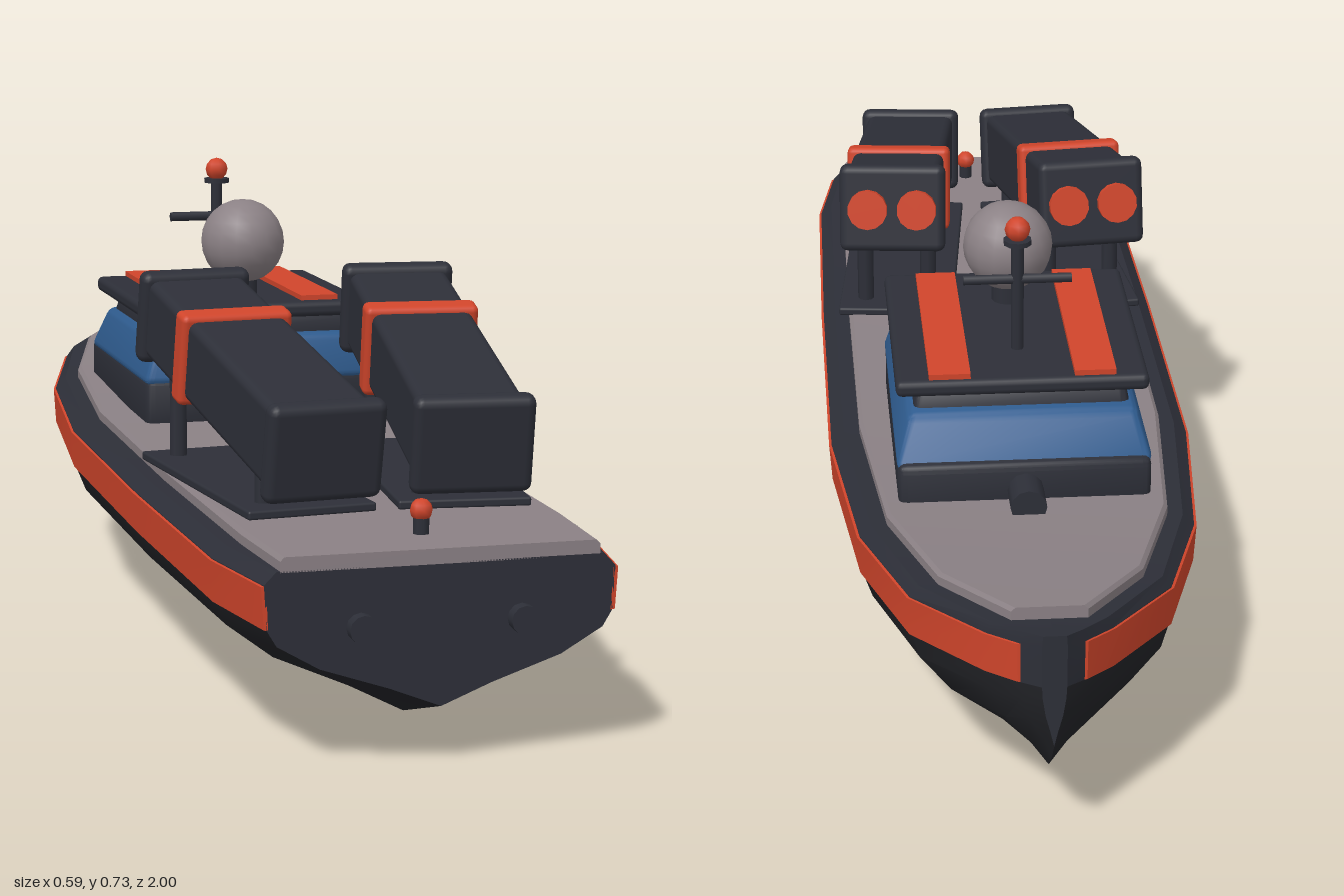
import * as THREE from 'three';
import { toCreasedNormals } from 'three/addons/utils/BufferGeometryUtils.js';
import { RoundedBoxGeometry } from 'three/addons/geometries/RoundedBoxGeometry.js';

const material = (name, color) => {
  const m = new THREE.MeshStandardMaterial({ color });
  m.name = name;
  return m;
};

// Hull stations, stern to bow: z, half width, keel height, sheer height, deck half width
const STATIONS = [
  [0.98, 0.255, 0.085, 0.29, 0.232],
  [0.8, 0.284, 0.03, 0.29, 0.242],
  [0.32, 0.291, 0, 0.29, 0.247],
  [-0.2, 0.291, 0, 0.296, 0.245],
  [-0.55, 0.257, 0.018, 0.313, 0.215],
  [-0.78, 0.192, 0.055, 0.335, 0.15],
  [-0.92, 0.09, 0.11, 0.352, 0.055],
  [-0.97, 0.046, 0.155, 0.362, 0.03],
  [-1.0, 0.018, 0.19, 0.37, 0.01],
];

// Skin between equal rows of points; rows run towards -z, points clockwise seen from +z
function loft(rows, caps = false) {
  const n = rows[0].length, index = [];
  for (let i = 0; i < rows.length - 1; i++) {
    for (let j = 0; j < n - 1; j++) {
      const a = i * n + j, b = a + 1, c = a + n, d = c + 1;
      index.push(a, b, c, b, d, c);
    }
  }
  if (caps) {
    const e = (rows.length - 1) * n;
    for (let j = 1; j < n - 1; j++) index.push(0, j + 1, j, e, e + j, e + j + 1);
  }
  const g = new THREE.BufferGeometry();
  g.setAttribute('position', new THREE.Float32BufferAttribute(rows.flat(2), 3));
  g.setIndex(index);
  return toCreasedNormals(g, 0.5);
}

const mirrorRow = (row) => row.slice().reverse().map(([x, y, z]) => [-x, y, z]);

// Half sections of the hull
const upperHalf = ([z, w, , s]) => [[0, s, z], [w * 0.93, s, z], [w, s - 0.018, z], [w * 0.985, s - 0.082, z]];
function lowerHalf([z, w, k, s]) {
  const h = s - 0.082 - k;
  return [[0.985, 1], [0.93, 0.81], [0.69, 0.52], [0.29, 0.24], [0, 0]].map(([x, y]) => [w * x, k + h * y, z]);
}

export function createModel() {
  const root = new THREE.Group();
  root.name = 'patrolBoat';
  const dark = material('charcoal', 0x2d2f38);
  const black = material('hullBlack', 0x222327);
  const red = material('signalRed', 0xd0452b);
  const grey = material('deckGrey', 0x8b8185);
  const blue = material('windowBlue', 0x2f5c8f);

  const add = (name, geo, mat, pos = [0, 0, 0], parent = root) => {
    const m = new THREE.Mesh(geo, mat);
    m.name = name;
    m.position.set(...pos);
    parent.add(m);
    return m;
  };
  const box = (w, h, d, r = 0.01) => new RoundedBoxGeometry(w, h, d, 2, r);
  const rod = (r, h, sides = 12) => new THREE.CylinderGeometry(r, r, h, sides);

  // Hull
  add('lowerHull', loft(STATIONS.map((s) => {
    const half = lowerHalf(s);
    return [...half, ...mirrorRow(half).slice(1)];
  })), black);
  const upperRows = STATIONS.map(upperHalf);
  add('gunwaleLeft', loft(upperRows), dark);
  add('gunwaleRight', loft(upperRows.map(mirrorRow)), dark);

  // Flat ends of the hull
  const endRows = [STATIONS[0], STATIONS[STATIONS.length - 1]].map((s) => {
    const half = [...upperHalf(s), ...lowerHalf(s).slice(1)];
    return [...half, ...mirrorRow(half).slice(1)];
  });
  endRows.forEach((row, i) => {
    const shape = new THREE.Shape(row.map(([x, y]) => new THREE.Vector2(x, y)));
    const end = add(i ? 'stemFace' : 'transom', new THREE.ShapeGeometry(shape), dark, [0, 0, row[0][2]]);
    if (i) end.rotation.y = Math.PI;
  });

  // Painted side stripes
  const stripeRows = STATIONS.slice(0, -1).map(([z, w, , s]) => [
    [w * 0.99, s - 0.019, z], [w + 0.004, s - 0.02, z], [w * 0.985 + 0.004, s - 0.081, z], [w * 0.975, s - 0.082, z],
  ]);
  add('stripeLeft', loft(stripeRows, true), red);
  add('stripeRight', loft(stripeRows.map(mirrorRow), true), red);

  // Deck
  add('deck', loft(STATIONS.slice(0, 7).map(([z, , , s, d]) => [
    [0, s + 0.02, z], [d - 0.006, s + 0.02, z], [d, s + 0.014, z], [d, s - 0.002, z],
    [-d, s - 0.002, z], [-d, s + 0.014, z], [-d + 0.006, s + 0.02, z], [0, s + 0.02, z],
  ]), true), grey);

  // Cabin tier: a rounded box narrowed towards the top, with a raked bow side
  function tier(name, halfW, y0, y1, aft, fore, inset, rake, mat) {
    const h = y1 - y0, g = box(halfW * 2, h, aft - fore, 0.014), p = g.attributes.position;
    for (let i = 0; i < p.count; i++) {
      const t = p.getY(i) / h + 0.5, x = p.getX(i), z = p.getZ(i);
      p.setX(i, x * (1 - (t * inset) / halfW));
      p.setZ(i, z + t * (z < 0 ? rake : -inset * 0.6));
    }
    g.computeVertexNormals();
    add(name, toCreasedNormals(g, 0.6), mat, [0, (y0 + y1) / 2, (aft + fore) / 2]);
  }
  tier('cabinBase', 0.195, 0.3, 0.392, -0.042, -0.515, 0, 0, dark);
  tier('cabinWindows', 0.2, 0.378, 0.457, -0.038, -0.51, 0.025, 0.05, blue);
  tier('cabinTop', 0.17, 0.44, 0.492, -0.07, -0.45, 0.01, 0.02, dark);
  add('roof', box(0.39, 0.026, 0.42), dark, [0, 0.498, -0.257]);
  for (const s of [-1, 1]) add('roofStripe', new THREE.BoxGeometry(0.064, 0.009, 0.39), red, [s * 0.112, 0.515, -0.263]);

  // Searchlight on the cabin front
  add('searchlight', rod(0.028, 0.06), dark, [0, 0.347, -0.545]).rotation.x = Math.PI / 2;

  // Radome
  add('radomePedestal', rod(0.026, 0.06), dark, [0, 0.535, -0.16]);
  add('radome', new THREE.SphereGeometry(0.072, 16, 12), grey, [0, 0.605, -0.16]);

  // Mast
  add('mast', rod(0.01, 0.19, 8), dark, [0, 0.6, -0.35]);
  add('mastCrossbar', rod(0.008, 0.168, 8), dark, [0, 0.628, -0.35]).rotation.z = Math.PI / 2;
  add('mastCap', rod(0.022, 0.008, 10), dark, [0, 0.691, -0.35]);
  add('mastLight', new THREE.SphereGeometry(0.02, 8, 6), red, [0, 0.711, -0.35]);

  // Deck hatch, stern light and exhausts
  add('hatch', box(0.16, 0.065, 0.12, 0.022), dark, [0, 0.341, 0.055]);
  add('sternLightPost', rod(0.012, 0.03, 8), dark, [0, 0.32, 0.88]);
  add('sternLight', new THREE.SphereGeometry(0.017, 8, 6), red, [0, 0.344, 0.88]);
  for (const s of [-1, 1]) add('exhaust', rod(0.021, 0.04), dark, [s * 0.117, 0.205, 0.98]).rotation.x = Math.PI / 2;

  // Twin launchers, pitched up and toed outwards to the bow
  for (const s of [-1, 1]) {
    const side = s > 0 ? 'Left' : 'Right';
    const mount = new THREE.Group();
    mount.name = 'launcher' + side;
    mount.position.set(s * 0.141, 0, 0.478);
    mount.rotation.y = -s * 0.1;
    root.add(mount);
    add('mountPlate', box(0.2, 0.014, 0.5, 0.004), dark, [0, 0.316, 0], mount);
    for (const px of [-0.055, 0.055]) {
      add('frontPost', rod(0.014, 0.15, 8), dark, [px, 0.39, -0.2], mount);
      add('rearPost', rod(0.014, 0.07, 8), dark, [px, 0.35, 0.19], mount);
    }
    const canister = new THREE.Group();
    canister.name = 'canister' + side;
    canister.position.y = 0.473;
    canister.rotation.x = 0.2;
    mount.add(canister);
    add('canisterBody', box(0.16, 0.128, 0.62, 0.014), dark, [0, 0, 0], canister);
    for (const z of [-0.297, 0.297]) add('endCollar', box(0.181, 0.15, 0.036, 0.014), dark, [0, 0, z], canister);
    add('redBand', box(0.18, 0.146, 0.042), red, [0, 0, -0.105], canister);
    for (const px of [-0.042, 0.042]) {
      add('tubeCap', rod(0.034, 0.02, 14), red, [px, 0, -0.318], canister).rotation.x = Math.PI / 2;
    }
  }
  return root;
}
